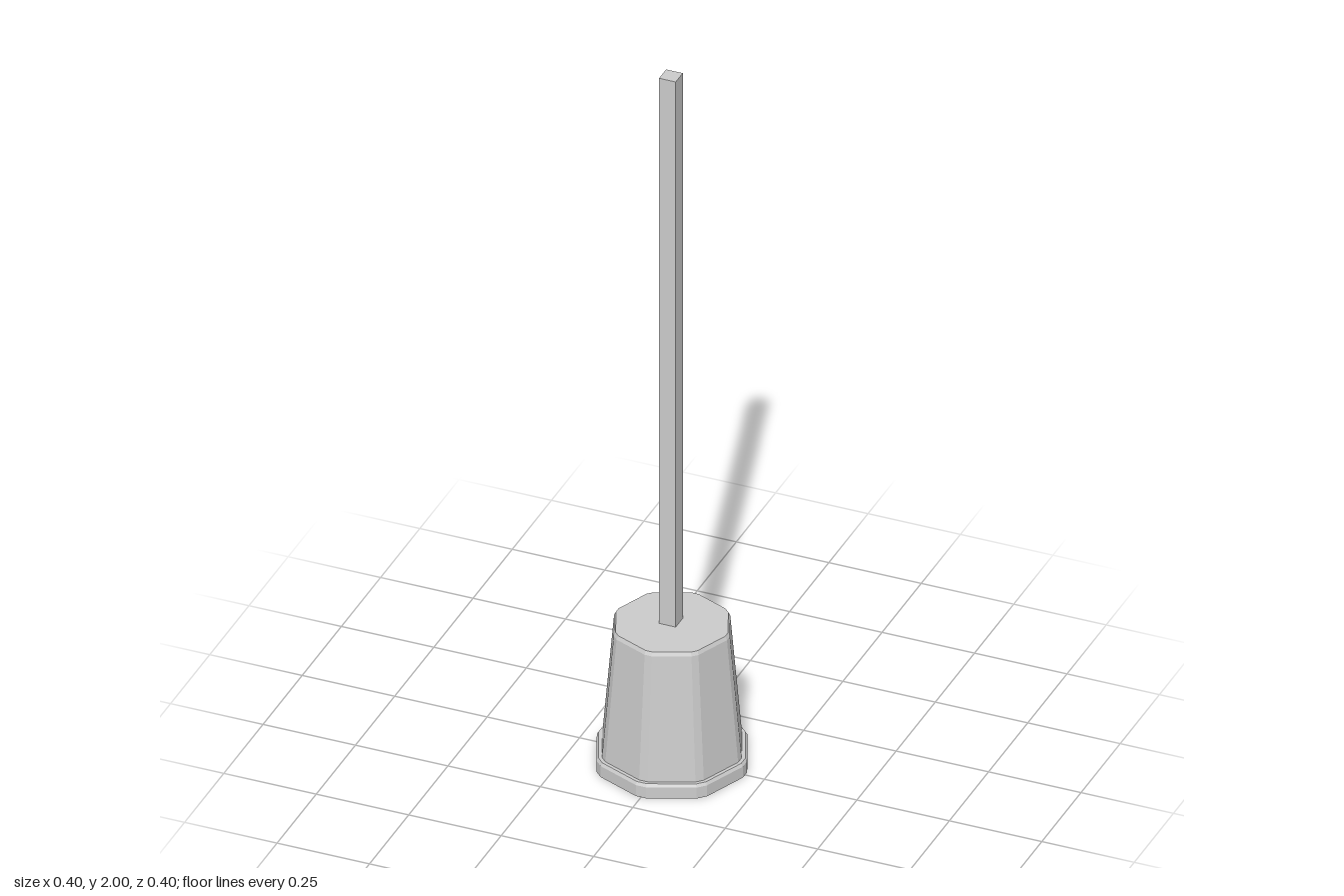
import * as THREE from 'three';

const material = new THREE.MeshStandardMaterial({ color: 0xcccccc, flatShading: true });

// Revolves a profile into an octagon whose eight corners are slightly chamfered
function chamferedOctagon(name, profile, chamferDeg) {
  const points = profile.map(([r, y]) => new THREE.Vector2(r, y));
  const geometry = new THREE.LatheGeometry(points, 16);
  const pos = geometry.attributes.position;
  for (let i = 0; i < pos.count; i++) {
    const column = Math.floor(i / points.length);
    const { x: r, y } = points[i % points.length];
    const degrees = Math.floor(column / 2) * 45 + (column % 2 ? chamferDeg : -chamferDeg);
    const a = THREE.MathUtils.degToRad(degrees);
    pos.setXYZ(i, r * Math.sin(a), y, r * Math.cos(a));
  }
  const flat = geometry.toNonIndexed();
  flat.computeVertexNormals();
  const mesh = new THREE.Mesh(flat, material);
  mesh.name = name;
  return mesh;
}

export function createModel() {
  const group = new THREE.Group();
  group.name = 'bucketOnPole';

  // Hollow upturned bucket: ceiling, inner wall, outer wall, top
  group.add(chamferedOctagon('bucket', [
    [0, 0.37], [0.12, 0.37], [0.15, 0.005], [0.187, 0.005],
    [0.153, 0.39], [0.148, 0.4], [0, 0.4],
  ], 3.5));

  // Rim band around the open mouth
  group.add(chamferedOctagon('rim', [
    [0.147, 0.04], [0.15, 0], [0.198, 0], [0.198, 0.032], [0.193, 0.04], [0.147, 0.04],
  ], 4));

  // Square pole, set slightly off centre
  const pole = new THREE.Mesh(new THREE.BoxGeometry(0.045, 1.61, 0.045), material);
  pole.name = 'pole';
  pole.position.set(-0.005, 1.195, -0.005);
  group.add(pole);

  return group;
}
